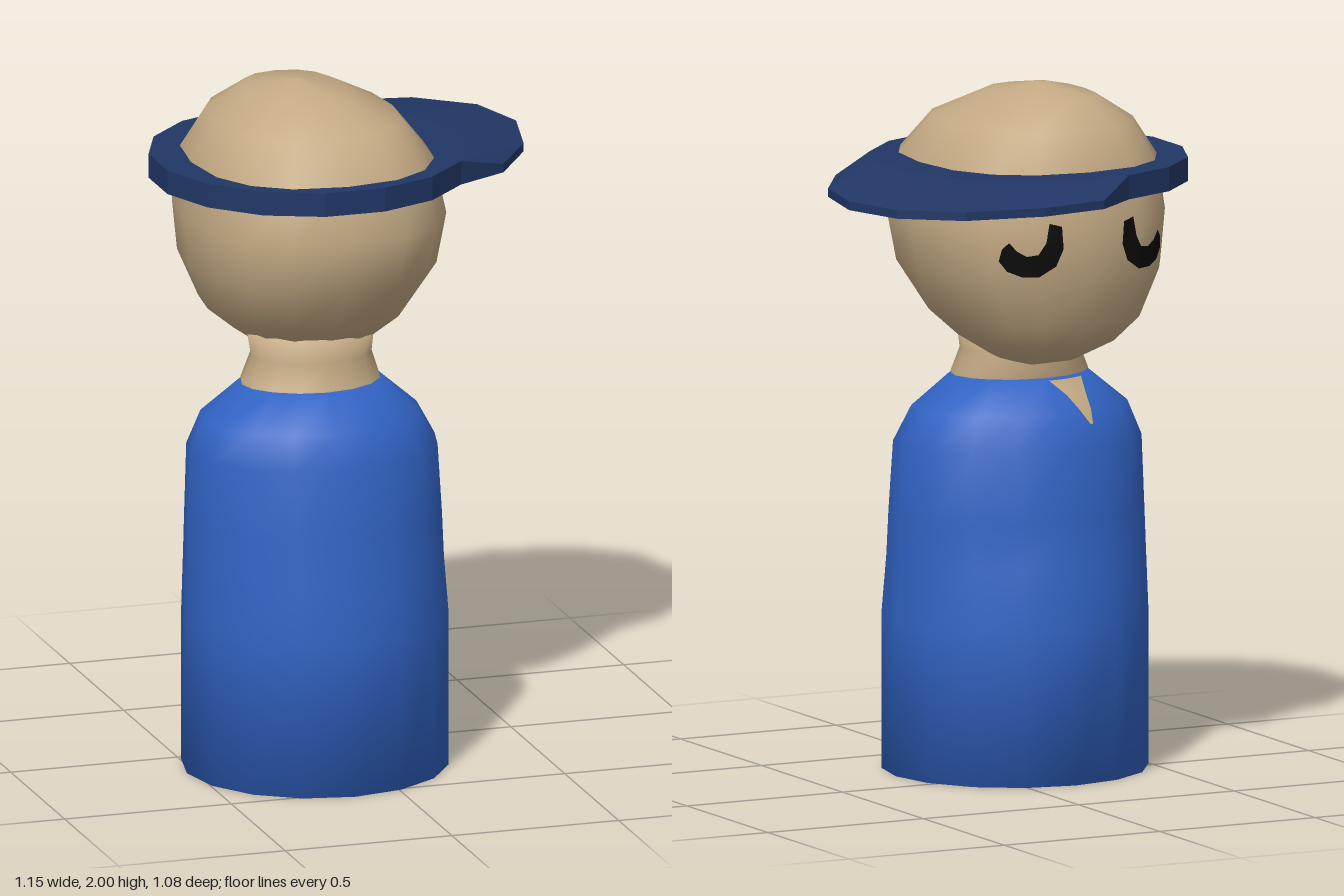
import * as THREE from 'three';
import { ConvexGeometry } from 'three/addons/geometries/ConvexGeometry.js';

const SIDES = 16;

// Cross-sections, bottom to top: [y, xMin, xMax, zMin, zMax]
const BODY = [
  [0, -0.525, 0.243, -0.21, 0.54],
  [0.45, -0.525, 0.243, -0.21, 0.54],
  [0.62, -0.523, 0.234, -0.183, 0.518],
  [0.75, -0.522, 0.226, -0.162, 0.501],
  [0.95, -0.52, 0.215, -0.13, 0.475],
  [1.05, -0.48, 0.16, -0.085, 0.435],
  [1.145, -0.36, 0.05, 0.0, 0.335],
];
const NECK = [
  [1.08, -0.38, 0.06, 0.03, 0.35],
  [1.15, -0.36, 0.048, 0.005, 0.33],
  [1.22, -0.328, 0.028, 0.015, 0.295],
  [1.3, -0.345, 0.035, 0.02, 0.305],
];
const HEAD = [
  [1.195, -0.11, -0.09, -0.03, -0.01],
  [1.22, -0.22, 0.0, -0.15, 0.12],
  [1.27, -0.34, 0.07, -0.225, 0.275],
  [1.34, -0.425, 0.14, -0.275, 0.37],
  [1.48, -0.49, 0.218, -0.325, 0.472],
  [1.63, -0.507, 0.243, -0.335, 0.5],
  [1.79, -0.485, 0.212, -0.302, 0.458],
  [1.9, -0.41, 0.125, -0.25, 0.37],
  [1.97, -0.3, -0.02, -0.15, 0.23],
  [2.0, -0.18, -0.14, 0.02, 0.06],
];
const BODY_POWER = 2, NECK_POWER = 2, HEAD_POWER = 2.4;

const rounded = (v, power) => Math.sign(v) * Math.abs(v) ** (2 / power);

// Smooth closed skin through the cross-sections; inset(angle, y) pulls points inward
function loft(rings, power, inset = () => 0) {
  const pos = [], idx = [];
  for (const [y, x0, x1, z0, z1] of rings) {
    for (let j = 0; j < SIDES; j++) {
      const a = (j / SIDES) * Math.PI * 2, k = 1 - inset(a, y);
      pos.push(
        (x0 + x1) / 2 + (k * (x1 - x0) / 2) * rounded(Math.cos(a), power), y,
        (z0 + z1) / 2 + (k * (z1 - z0) / 2) * rounded(Math.sin(a), power));
    }
  }
  const n = rings.length, bottom = n * SIDES, top = bottom + 1;
  for (const [y, x0, x1, z0, z1] of [rings[0], rings[n - 1]]) pos.push((x0 + x1) / 2, y, (z0 + z1) / 2);
  for (let j = 0; j < SIDES; j++) {
    const j2 = (j + 1) % SIDES, last = (n - 1) * SIDES;
    for (let i = 0; i < n - 1; i++) {
      const p = i * SIDES + j, q = i * SIDES + j2;
      idx.push(p, p + SIDES, q, q, p + SIDES, q + SIDES);
    }
    idx.push(bottom, j, j2, top, last + j2, last + j);
  }
  return indexed(pos, idx);
}

function indexed(pos, idx) {
  const g = new THREE.BufferGeometry();
  g.setAttribute('position', new THREE.Float32BufferAttribute(pos, 3));
  g.setIndex(idx);
  g.computeVertexNormals();
  return g;
}

// Depth of the -z face of a loft at (x, y)
function faceZ(rings, power, x, y) {
  let i = 0;
  while (i < rings.length - 2 && rings[i + 1][0] < y) i++;
  const t = (y - rings[i][0]) / (rings[i + 1][0] - rings[i][0]);
  const [x0, x1, z0, z1] = [1, 2, 3, 4].map(k => THREE.MathUtils.lerp(rings[i][k], rings[i + 1][k], t));
  const u = Math.min(1, Math.abs((x - (x0 + x1) / 2) / ((x1 - x0) / 2)));
  return (z0 + z1) / 2 - ((z1 - z0) / 2) * (1 - u ** power) ** (1 / power);
}

// Thin patch laid over a loft; each row is [xA, yA, xB, yB]
function patch(rows, rings, power) {
  const pos = [], idx = [], steps = 4;
  rows.forEach(([xa, ya, xb, yb], k) => {
    for (let j = 0; j <= steps; j++) {
      const x = THREE.MathUtils.lerp(xa, xb, j / steps), y = THREE.MathUtils.lerp(ya, yb, j / steps);
      pos.push(x, y, faceZ(rings, power, x, y) - 0.005);
      if (k < rows.length - 1 && j < steps) {
        const a = k * (steps + 1) + j, b = a + steps + 1;
        idx.push(a, b, a + 1, a + 1, b, b + 1);
      }
    }
  });
  return indexed(pos, idx);
}

export function createModel() {
  const group = new THREE.Group();
  const material = (name, color, extra = {}) => {
    const m = new THREE.MeshStandardMaterial({ color, ...extra });
    m.name = name;
    return m;
  };
  const blue = material('shirtBlue', 0x3163c4);
  const skin = material('skin', 0xc4aa84);
  const navy = material('capNavy', 0x213766);
  const black = material('eyeBlack', 0x0a0a0a, { side: THREE.DoubleSide });
  const add = (name, geometry, mat) => {
    const mesh = new THREE.Mesh(geometry, mat);
    mesh.name = name;
    group.add(mesh);
    return mesh;
  };

  // Body with a soft waist crease on the +x, -z side
  const crease = (a, y) => (Math.abs(y - 0.62) < 0.01 ? 0.06 * Math.max(0, Math.cos(a + Math.PI / 4)) ** 2 : 0);
  add('body', loft(BODY, BODY_POWER, crease), blue);
  add('neck', loft(NECK, NECK_POWER), skin);
  add('head', loft(HEAD, HEAD_POWER), skin);

  // Open collar notch
  add('collarNotch', patch([
    [-0.16, 1.14, -0.28, 1.14], [-0.2, 1.1, -0.27, 1.1],
    [-0.225, 1.06, -0.265, 1.06], [-0.25, 1.02, -0.26, 1.02],
  ], BODY, BODY_POWER), skin);

  // Crescent eyes: upper and lower edges, from the inner tip outwards
  const crescent = [
    [0.135, 1.655, 0.1, 1.645], [0.145, 1.6, 0.095, 1.58], [0.165, 1.565, 0.115, 1.53],
    [0.195, 1.56, 0.16, 1.5], [0.22, 1.575, 0.205, 1.5], [0.24, 1.6, 0.24, 1.515], [0.255, 1.58, 0.26, 1.545],
  ];
  for (const [name, s] of [['leftEye', 1], ['rightEye', -1]]) {
    const rows = crescent.map(([xa, ya, xb, yb]) => [-0.135 + s * xa, ya, -0.135 + s * xb, yb]);
    add(name, patch(rows, HEAD, HEAD_POWER), black);
  }

  // Cap band: flat sixteen-sided plate around the head
  const R = 0.456, cx = -0.128, cz = 0.053, low = 1.72, high = 1.79;
  const band = new THREE.CylinderGeometry(R, R, high - low, SIDES).rotateY(Math.PI / SIDES).toNonIndexed();
  band.computeVertexNormals();
  add('capBand', band, navy).position.set(cx, (low + high) / 2, cz);

  // Visor: tapers from the band to a thin outer rim
  const points = [];
  for (let k = 0; k <= 6; k++) {
    const a = THREE.MathUtils.degToRad(33.75 - 22.5 * k);
    for (const y of [low, high]) points.push(new THREE.Vector3(cx + R * Math.cos(a), y, cz + R * Math.sin(a)));
  }
  const rim = [[-0.08, -0.505], [0.13, -0.54], [0.365, -0.5], [0.52, -0.375], [0.575, -0.185], [0.525, 0.04], [0.405, 0.225]];
  for (const [x, z] of rim) for (const y of [low, 1.745]) points.push(new THREE.Vector3(x, y, z));
  add('capVisor', new ConvexGeometry(points), navy);

  return group;
}
